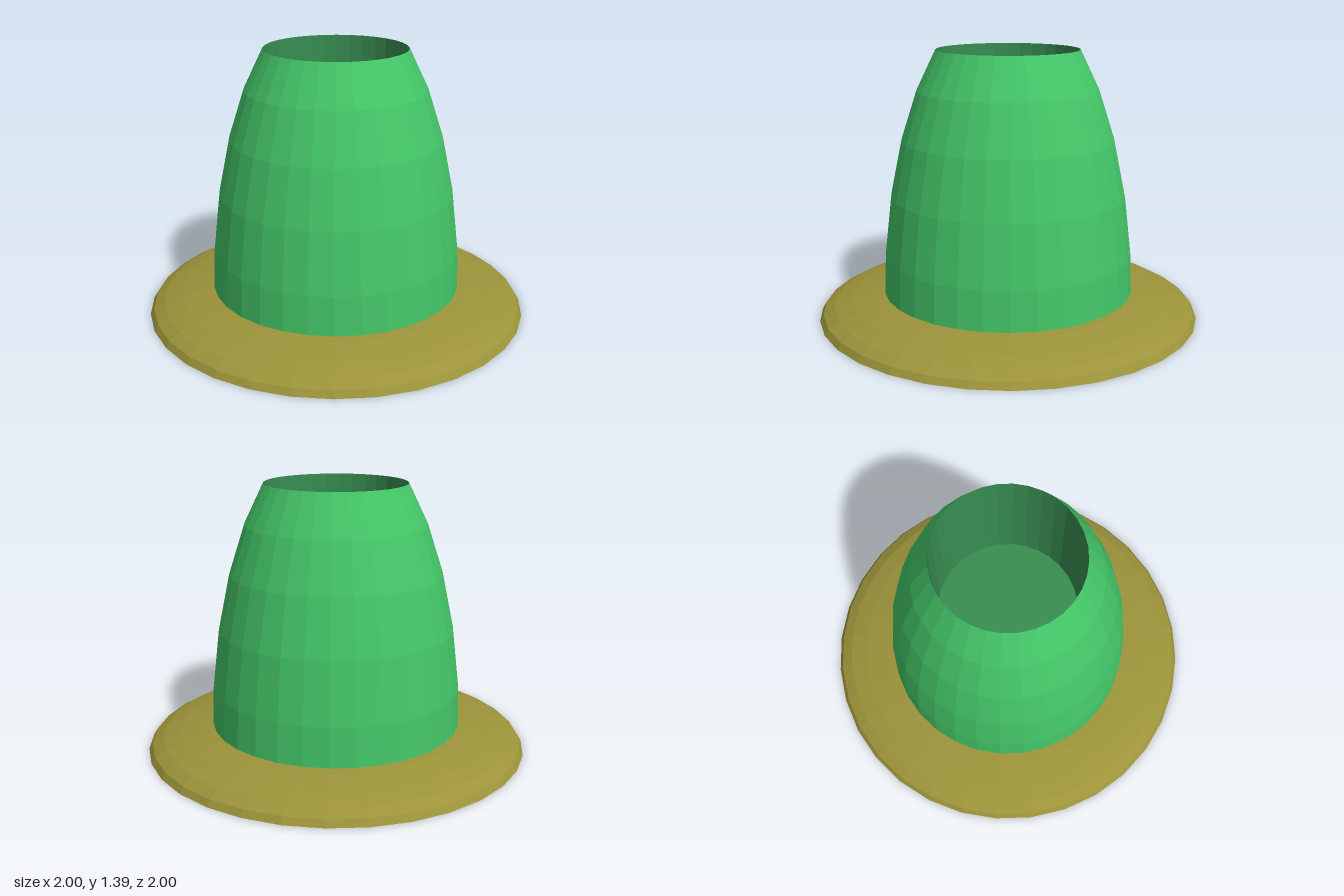
import * as THREE from 'three';

const SIDES = 32;
const STEP = Math.PI / 16;

// Rings of a half ellipsoid standing on y = 0, from its equator upward
function domeProfile(radius, height, rings) {
  const points = [];
  for (let i = 0; i <= rings; i++) {
    points.push(new THREE.Vector2(radius * Math.cos(i * STEP), height * Math.sin(i * STEP)));
  }
  return points;
}

function lathe(name, points, material) {
  const mesh = new THREE.Mesh(new THREE.LatheGeometry(points, SIDES), material);
  mesh.name = name;
  return mesh;
}

function flatMaterial(name, color) {
  const material = new THREE.MeshStandardMaterial({ color, flatShading: true });
  material.name = name;
  return material;
}

export function createModel() {
  const green = flatMaterial('green', 0x44c768);
  const darkGreen = flatMaterial('dark green', 0x388e52);
  const gold = flatMaterial('dull gold', 0x9c933a);

  const hat = new THREE.Group();
  hat.name = 'hat';

  // Shallow domed brim with a flat underside
  const brimProfile = [new THREE.Vector2(0, 0), ...domeProfile(1, 0.167, 7), new THREE.Vector2(0, 0.167)];
  hat.add(lathe('brim', brimProfile, gold));

  // Tall tapering crown, cut off at its fifth ring
  const crownProfile = domeProfile(0.663, 1.67, 5);
  hat.add(lathe('crown', crownProfile, green));

  // Straight-sided hollow sunk into the top of the crown
  const rim = crownProfile[crownProfile.length - 1];
  const floorY = 0.7;
  hat.add(lathe('crownHollow', [
    rim.clone(),
    new THREE.Vector2(rim.x, floorY),
    new THREE.Vector2(0, floorY),
  ], darkGreen));

  return hat;
}
